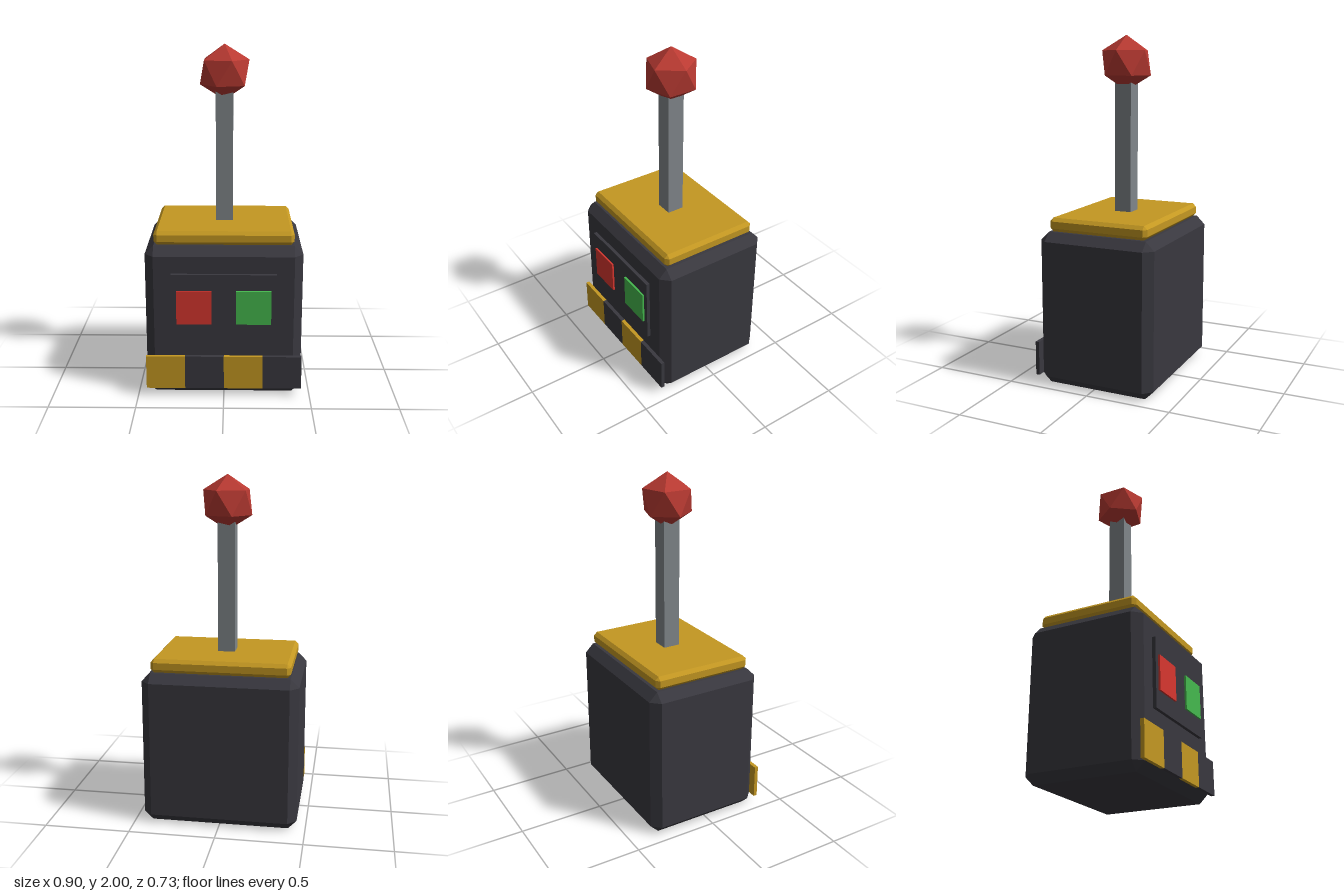
import * as THREE from 'three';
import { ConvexGeometry } from 'three/addons/geometries/ConvexGeometry.js';

const mat = (name, color) => {
  const m = new THREE.MeshStandardMaterial({ color });
  m.name = name;
  return m;
};

// Box with every edge cut at 45 degrees
function chamferBox(w, h, d, b) {
  const [x, y, z] = [w / 2, h / 2, d / 2];
  const points = [];
  for (const i of [-1, 1]) for (const j of [-1, 1]) for (const k of [-1, 1]) {
    points.push(
      new THREE.Vector3(i * x, j * (y - b), k * (z - b)),
      new THREE.Vector3(i * (x - b), j * y, k * (z - b)),
      new THREE.Vector3(i * (x - b), j * (y - b), k * z));
  }
  return new ConvexGeometry(points);
}

export function createModel() {
  const group = new THREE.Group();
  group.name = 'leverControlBox';
  const dark = mat('darkGrey', 0x39383f);
  const gold = mat('gold', 0xc49822);
  const steel = mat('steelGrey', 0x80868a);
  const knobRed = mat('knobRed', 0xb93a32);
  const buttonRed = mat('buttonRed', 0xd8362f);
  const buttonGreen = mat('buttonGreen', 0x45b94e);

  const add = (name, geometry, material, x, y, z) => {
    const mesh = new THREE.Mesh(geometry, material);
    mesh.name = name;
    mesh.position.set(x, y, z);
    group.add(mesh);
  };
  const box = (w, h, d) => new THREE.BoxGeometry(w, h, d);
  const cz = -0.016;

  // Housing and lid
  add('housing', chamferBox(0.9, 0.9, 0.7, 0.05), dark, 0, 0.45, cz);
  add('lid', chamferBox(0.8, 0.08, 0.6, 0.02), gold, 0, 0.94, cz);

  // Lever with a faceted knob, one vertex pointing up
  add('leverRod', box(0.1, 0.78, 0.1), steel, 0, 1.35, cz);
  const knob = new THREE.IcosahedronGeometry(0.158, 0);
  knob.rotateX(-Math.atan((1 + Math.sqrt(5)) / 2));
  knob.rotateY(Math.PI / 2);
  add('leverKnob', knob, knobRed, 0, 1.842, cz);

  // Front panel with two buttons
  add('controlPanel', box(0.6, 0.4, 0.024), dark, 0, 0.55, 0.342);
  add('redButton', box(0.2, 0.2, 0.02), buttonRed, -0.17, 0.555, 0.355);
  add('greenButton', box(0.2, 0.2, 0.02), buttonGreen, 0.17, 0.555, 0.355);

  // Striped strip along the foot of the front
  for (let i = 0; i < 4; i++) {
    add('stripe' + (i + 1), box(0.225, 0.2, 0.022), i % 2 ? dark : gold, -0.3375 + i * 0.225, 0.15, 0.345);
  }
  return group;
}
